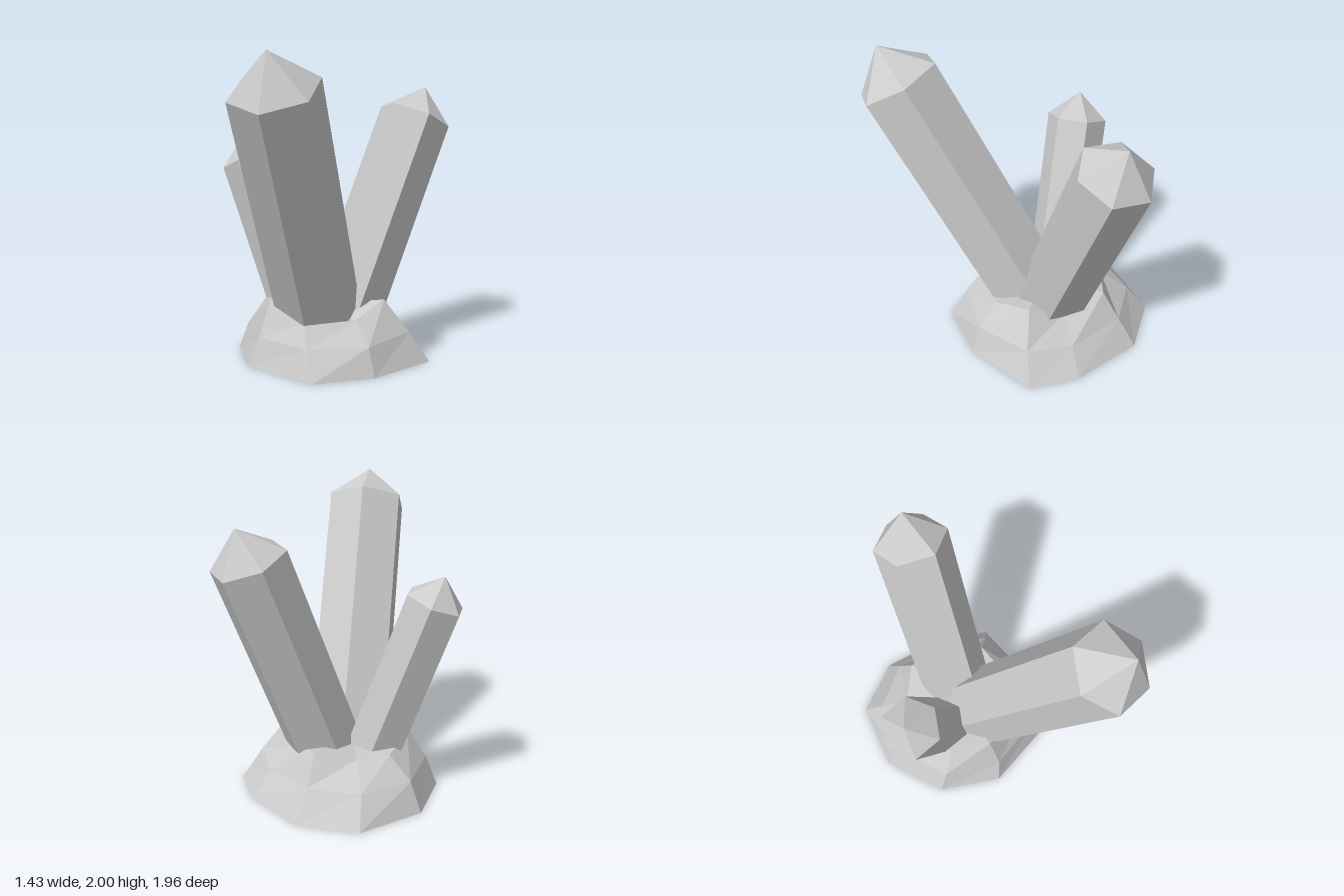
import * as THREE from 'three';

const material = new THREE.MeshStandardMaterial({ color: 0xcccccc, flatShading: true, roughness: 0.8 });

// Hexagonal prism with a pointed cap. shoulder: centre of the ring below the cap,
// slope: axis direction with y = 1, spoke: direction from the shoulder centre to one corner.
function crystal(name, { shoulder, slope, spoke, radius, cap }) {
  const centre = new THREE.Vector3(...shoulder);
  const run = new THREE.Vector3(...slope);
  const height = (centre.y - 0.2) * run.length(); // rooted inside the rock
  const up = run.normalize();
  const out = new THREE.Vector3(...spoke).projectOnPlane(up).normalize();
  const side = new THREE.Vector3().crossVectors(up, out);

  const profile = [[0, -height], [radius, -height], [radius, 0], [0, cap]]
    .map(([x, y]) => new THREE.Vector2(x, y));
  const mesh = new THREE.Mesh(new THREE.LatheGeometry(profile, 6), material);
  mesh.name = name;
  mesh.quaternion.setFromRotationMatrix(new THREE.Matrix4().makeBasis(side, up, out));
  mesh.position.copy(centre);
  return mesh;
}

// Faceted rock made of three irregular nine-sided rings, closed top and bottom
function rock() {
  const rings = [
    [[0.37, 0, 0.43], [0.61, 0, 0.1], [0.71, 0, -0.4], [0.47, 0, -0.64], [0.02, 0, -0.83],
      [-0.37, 0, -0.74], [-0.59, 0, -0.33], [-0.51, 0, 0.11], [-0.18, 0, 0.4]],
    [[0.27, 0.18, 0.36], [0.55, 0.18, 0.08], [0.6, 0.2, -0.32], [0.39, 0.17, -0.54], [0.02, 0.19, -0.7],
      [-0.31, 0.18, -0.61], [-0.51, 0.19, -0.32], [-0.43, 0.19, 0.1], [-0.12, 0.19, 0.35]],
    [[0.2, 0.32, 0.28], [0.41, 0.32, 0.03], [0.45, 0.41, -0.25], [0.27, 0.32, -0.42], [0.03, 0.38, -0.58],
      [-0.2, 0.33, -0.45], [-0.36, 0.34, -0.31], [-0.31, 0.37, 0.06], [-0.11, 0.43, 0.25]],
  ];
  const n = rings[0].length;
  const positions = rings.flat(2).concat([0, 0, -0.15], [0.03, 0.35, -0.12]);
  const bottom = 3 * n, top = bottom + 1;
  const index = [];
  for (let i = 0; i < n; i++) {
    const j = (i + 1) % n;
    for (let r = 0; r < 2; r++) {
      const a = r * n + i, b = r * n + j;
      index.push(a, b, b + n, a, b + n, a + n);
    }
    index.push(bottom, j, i, top, 2 * n + i, 2 * n + j);
  }
  let geometry = new THREE.BufferGeometry();
  geometry.setAttribute('position', new THREE.Float32BufferAttribute(positions, 3));
  geometry.setIndex(index);
  geometry = geometry.toNonIndexed();
  geometry.computeVertexNormals();
  const mesh = new THREE.Mesh(geometry, material);
  mesh.name = 'rockBase';
  return mesh;
}

export function createModel() {
  const group = new THREE.Group();
  group.name = 'crystalCluster';
  group.add(
    rock(),
    crystal('tallFrontCrystal', {
      shoulder: [0.34, 1.783, 0.743], slope: [0.165, 1, 0.51],
      spoke: [0.27, -0.06, 0.037], radius: 0.28, cap: 0.246,
    }),
    crystal('backCrystal', {
      shoulder: [0.357, 1.595, -0.758], slope: [0.165, 1, -0.395],
      spoke: [0.223, -0.065, -0.082], radius: 0.245, cap: 0.217,
    }),
    crystal('smallSideCrystal', {
      shoulder: [-0.54, 1.3, -0.057], slope: [-0.375, 1, 0.07],
      spoke: [-0.18, -0.06, -0.05], radius: 0.197, cap: 0.17,
    }),
  );
  return group;
}
